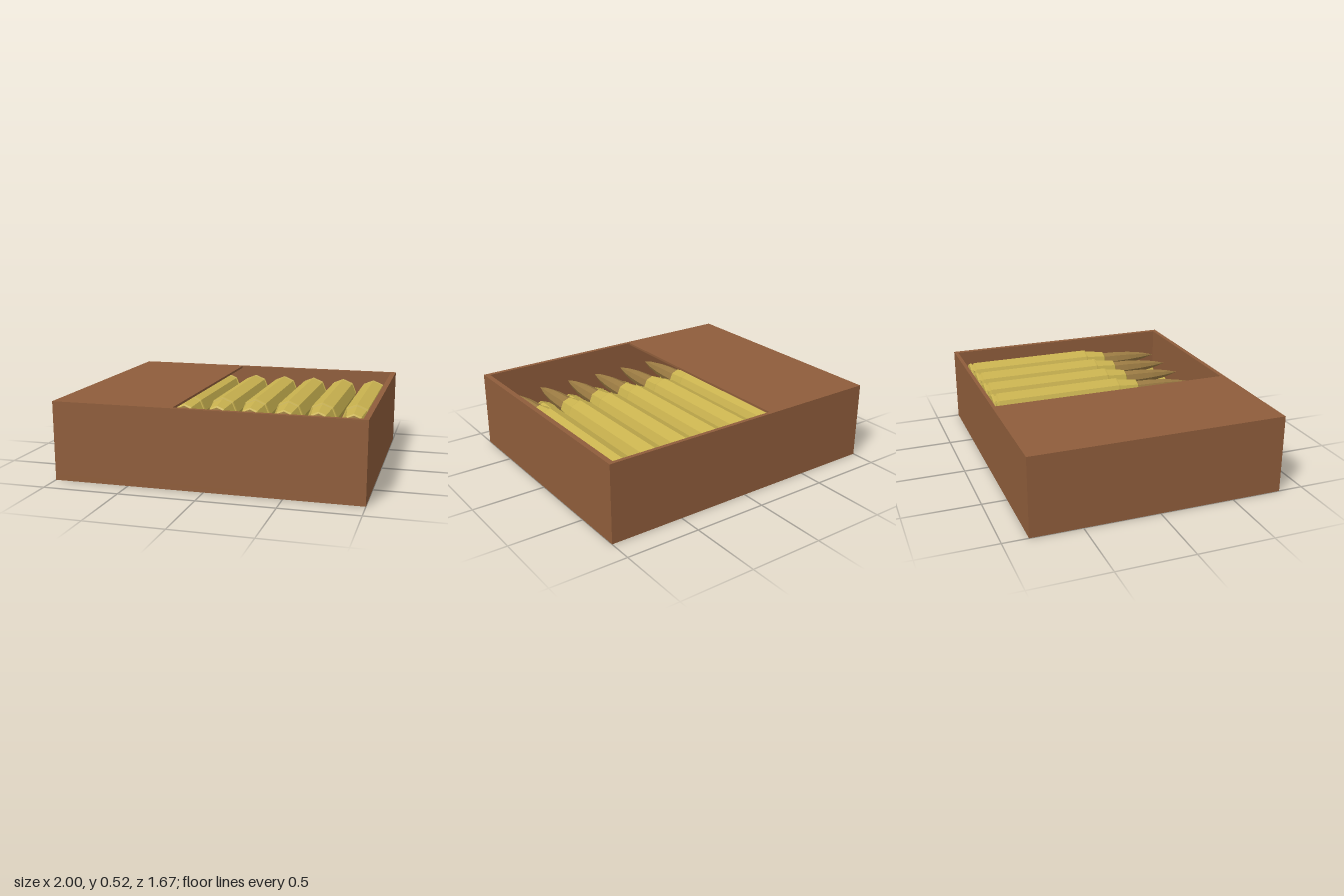
import * as THREE from 'three';

const wood = new THREE.MeshStandardMaterial({ color: 0x8f5d3b });
wood.name = 'brownCard';
const brass = new THREE.MeshStandardMaterial({ color: 0xc9b24f });
brass.name = 'brass';
const copper = new THREE.MeshStandardMaterial({ color: 0x9a7a42 });
copper.name = 'copper';

// Eight-sided faceted lathe lying along z; profile is [radius, z]
function facetedLathe(profile) {
  const points = profile.map(([r, z]) => new THREE.Vector2(r, z));
  const geometry = new THREE.LatheGeometry(points, 8).rotateX(Math.PI / 2).toNonIndexed();
  geometry.computeVertexNormals();
  return geometry;
}

// Rectangular ring with an opening, standing between y0 and y1
function frame(name, [x0, x1, z0, z1], y0, y1) {
  const rect = (path, a, b, c, d) =>
    path.moveTo(a, c).lineTo(b, c).lineTo(b, d).lineTo(a, d).closePath();
  const shape = rect(new THREE.Shape(), -1, 1, -0.835, 0.835);
  shape.holes.push(rect(new THREE.Path(), x0, x1, -z1, -z0));
  const geometry = new THREE.ExtrudeGeometry(shape, { depth: y1 - y0, bevelEnabled: false });
  geometry.rotateX(-Math.PI / 2).translate(0, y0, 0);
  const mesh = new THREE.Mesh(geometry, wood);
  mesh.name = name;
  return mesh;
}

export function createModel() {
  const model = new THREE.Group();
  model.name = 'cartridgeBox';

  // Box: floor, walls and a top panel open over the right-hand part
  const floor = new THREE.Mesh(new THREE.BoxGeometry(2, 0.04, 1.67), wood);
  floor.name = 'boxFloor';
  floor.position.y = 0.02;
  model.add(floor);
  model.add(frame('boxWalls', [-0.965, 0.965, -0.81, 0.805], 0.04, 0.505));
  model.add(frame('boxTop', [-0.2, 0.965, -0.81, 0.805], 0.505, 0.52));

  // Cartridge: rimmed case with a shoulder, and a pointed bullet
  const caseGeometry = facetedLathe([
    [0, -0.755], [0.093, -0.755], [0.101, -0.747], [0.101, -0.738], [0.086, -0.734],
    [0.086, -0.724], [0.101, -0.715], [0.101, 0.155], [0.098, 0.166],
    [0.09, 0.168], [0.07, 0.31], [0.06, 0.318], [0, 0.318],
  ]);
  const bulletGeometry = facetedLathe([
    [0.059, 0.31], [0.056, 0.42], [0.047, 0.53], [0.027, 0.65], [0, 0.745],
  ]);

  // Two layers pointing opposite ways, continuing beneath the closed panel
  for (const [layer, y, turn] of [['lower', 0.155, Math.PI], ['upper', 0.365, 0]]) {
    for (let i = 0; i < 8; i++) {
      const cartridge = new THREE.Group();
      cartridge.name = layer + 'Cartridge' + (i + 1);
      const shell = new THREE.Mesh(caseGeometry, brass);
      shell.name = 'case';
      const bullet = new THREE.Mesh(bulletGeometry, copper);
      bullet.name = 'bullet';
      cartridge.add(shell, bullet);
      cartridge.position.set(0.844 - i * 0.2285, y, 0);
      cartridge.rotation.y = turn;
      model.add(cartridge);
    }
  }
  return model;
}
